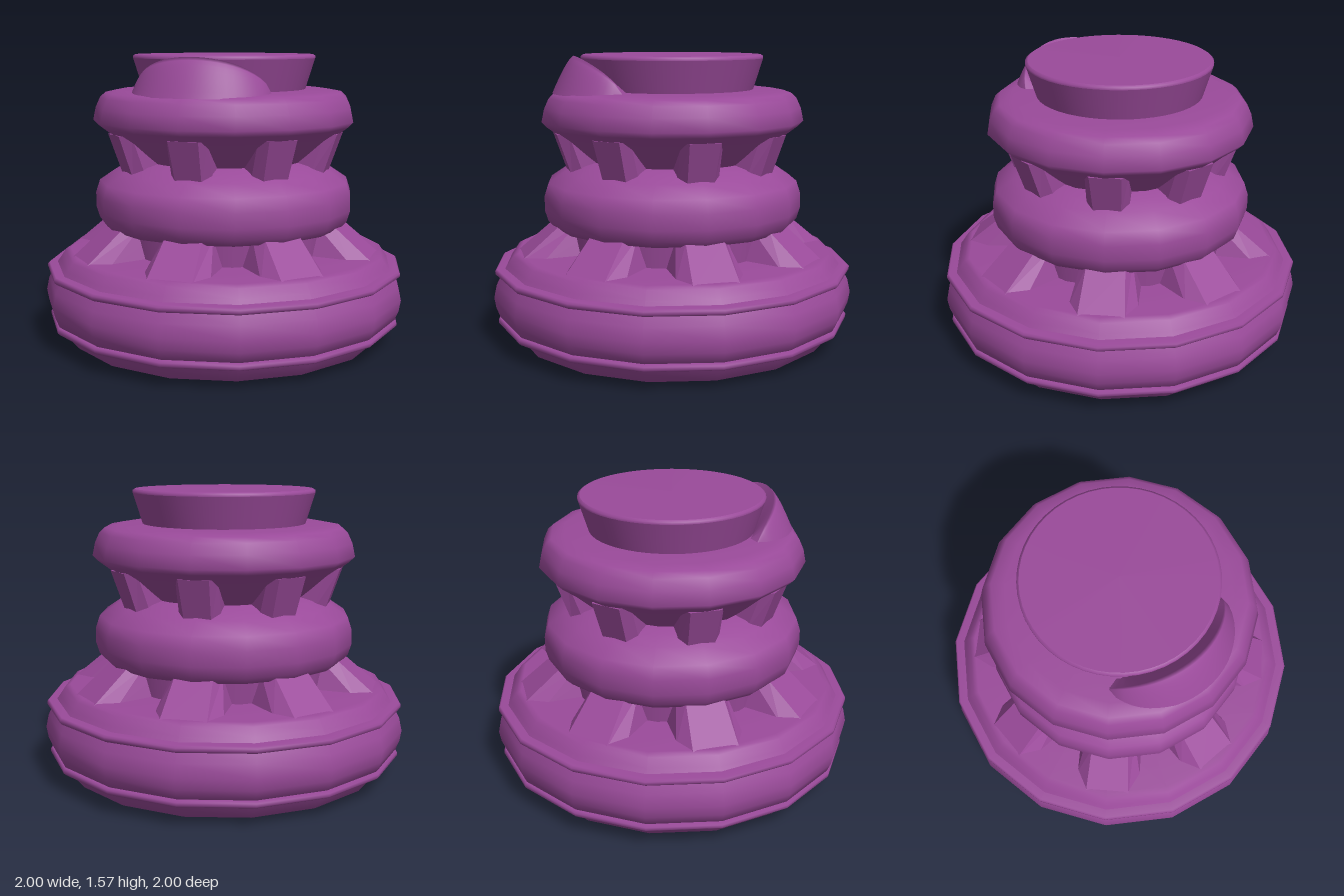
import * as THREE from 'three';

const material = new THREE.MeshStandardMaterial({ color: 0x9a4a9a, side: THREE.DoubleSide });
const lerp = THREE.MathUtils.lerp;

function add(parent, name, geometry) {
  const mesh = new THREE.Mesh(geometry, material);
  mesh.name = name;
  parent.add(mesh);
  return mesh;
}

// Turned part from [radius, height] points, listed from the bottom up
function turned(parent, name, profile, sides = 16) {
  return add(parent, name, new THREE.LatheGeometry(profile.map(([r, y]) => new THREE.Vector2(r, y)), sides));
}

// Leaning rib with a chamfered face; each end is { y, r, face, side, depth }
function ribGeometry(low, high) {
  const ring = (e) => [
    [-e.side, e.y, 0.4], [-e.side, e.y, e.r - e.depth], [-e.face, e.y, e.r],
    [e.face, e.y, e.r], [e.side, e.y, e.r - e.depth], [e.side, e.y, 0.4],
  ];
  const a = ring(low), b = ring(high), positions = [];
  for (let i = 0; i < 6; i++) {
    const j = (i + 1) % 6;
    positions.push(...a[i], ...a[j], ...b[j], ...a[i], ...b[j], ...b[i]);
  }
  for (let i = 1; i < 5; i++) positions.push(...a[0], ...a[i + 1], ...a[i], ...b[0], ...b[i], ...b[i + 1]);
  const geometry = new THREE.BufferGeometry();
  geometry.setAttribute('position', new THREE.Float32BufferAttribute(positions, 3));
  geometry.computeVertexNormals();
  return geometry;
}

function ribRing(parent, name, low, high) {
  const group = new THREE.Group();
  group.name = name + 's';
  const geometry = ribGeometry(low, high);
  for (let i = 0; i < 8; i++) add(group, name, geometry).rotation.y = (i * Math.PI) / 4;
  parent.add(group);
}

// Crescent lip: cross-sections swept round the cap, shrinking to points at both ends
function lipGeometry() {
  const around = 24, across = 8, half = 0.8, positions = [], index = [];
  for (let i = 0; i <= around; i++) {
    const s = (i / around) * 2 - 1;
    const angle = s * half;
    const rise = Math.pow(Math.max(0, 1 - s * s), 0.7);
    const ridge = 0.51 + 0.03 * rise;
    for (let j = 0; j <= across; j++) {
      // inner foot, ridge, then the rounded slope down to the outer foot
      const t = Math.max(0, (j - 1) / (across - 1));
      const r = j === 0 ? 0.43 : lerp(ridge, 0.52 + 0.135 * rise, t);
      const y = j === 0 ? 1.36 : 1.36 + (0.02 + 0.18 * rise) * (1 - Math.pow(t, 1.3));
      positions.push(r * Math.sin(angle), y, r * Math.cos(angle));
      if (i < around && j < across) {
        const a = i * (across + 1) + j, b = a + across + 1;
        index.push(a, a + 1, b, b, a + 1, b + 1);
      }
    }
  }
  let geometry = new THREE.BufferGeometry();
  geometry.setAttribute('position', new THREE.Float32BufferAttribute(positions, 3));
  geometry.setIndex(index.map((v, k) => index[k - (k % 3) + [0, 2, 1][k % 3]]));
  geometry.computeVertexNormals();
  return geometry;
}

export function createModel() {
  const model = new THREE.Group();
  model.name = 'tieredPedestal';

  // Wide base
  turned(model, 'baseUnderside', [[0, 0], [0.85, 0.01]]);
  turned(model, 'baseFoot', [[0.85, 0.01], [0.87, 0.02], [0.91, 0.07], [0.94, 0.12]]);
  turned(model, 'baseDrum', [[0.93, 0.12], [0.97, 0.15], [0.99, 0.2], [1, 0.26], [0.985, 0.33], [0.95, 0.4]]);
  turned(model, 'baseShoulder', [[0.95, 0.4], [0.92, 0.44], [0.89, 0.485], [0.86, 0.5], [0.55, 0.51]]);

  // Two thin bands round the base
  for (const [name, y, r] of [['lowerBand', 0.125, 0.98], ['upperBand', 0.4, 0.99]]) {
    turned(model, name, [[0.9, y - 0.02], [r - 0.01, y - 0.018], [r, y - 0.008],
      [r, y + 0.008], [r - 0.01, y + 0.018], [0.9, y + 0.02]]);
  }

  // Middle tier with its neck
  turned(model, 'lowerNeck', [[0.58, 0.48], [0.6, 0.66]]);
  turned(model, 'middleTier', [[0.58, 0.62], [0.66, 0.635], [0.695, 0.67], [0.713, 0.73], [0.713, 0.81],
    [0.69, 0.88], [0.6, 0.94], [0.53, 0.98], [0.46, 1.0]]);

  // Upper tier: flared underside, rounded rim, flat top
  turned(model, 'upperTierUnderside', [[0.46, 0.99], [0.52, 1.04], [0.61, 1.12], [0.69, 1.18]]);
  turned(model, 'upperTierRim', [[0.69, 1.18], [0.72, 1.21], [0.705, 1.28], [0.68, 1.335],
    [0.65, 1.362], [0.58, 1.375], [0.42, 1.38]]);

  // Flared cap
  turned(model, 'capWall', [[0.44, 1.36], [0.497, 1.545]], 48);
  turned(model, 'capEdge', [[0.497, 1.545], [0.497, 1.557], [0.485, 1.565]], 48);
  turned(model, 'capTop', [[0.485, 1.565], [0, 1.57]], 48);

  // Eight ribs under each tier
  ribRing(model, 'lowerRib', { y: 0.48, r: 0.865, face: 0.12, side: 0.18, depth: 0.11 },
    { y: 0.66, r: 0.65, face: 0.1, side: 0.13, depth: 0.08 });
  ribRing(model, 'upperRib', { y: 0.92, r: 0.57, face: 0.07, side: 0.11, depth: 0.06 },
    { y: 1.15, r: 0.65, face: 0.08, side: 0.11, depth: 0.06 });

  // Crescent lip at the front of the cap
  add(model, 'frontLip', lipGeometry());

  return model;
}
